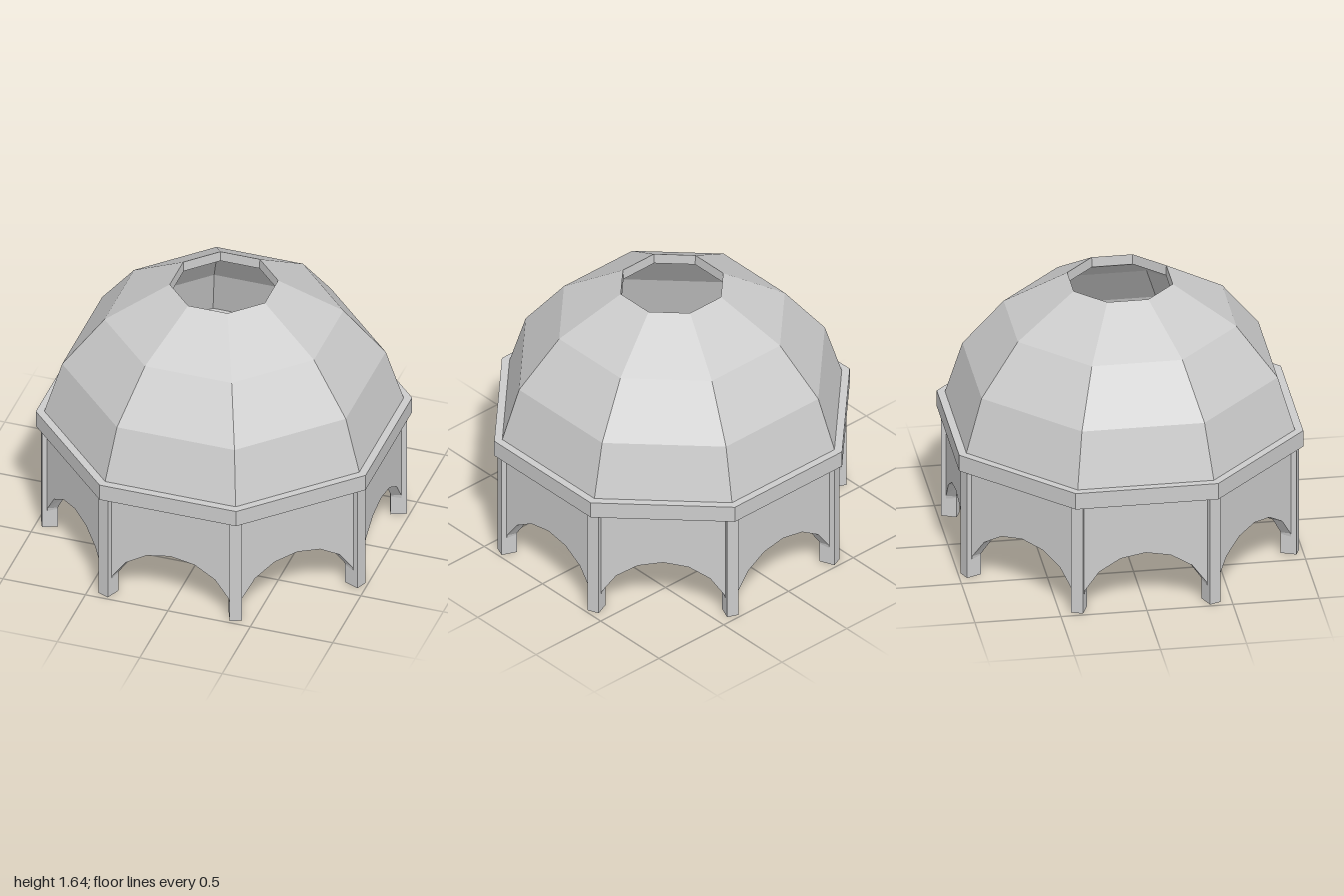
import * as THREE from 'three';

const SIDES = 8;
const STEP = (Math.PI * 2) / SIDES;
const CORNER = 1 / Math.cos(STEP / 2); // apothem -> corner radius

const material = new THREE.MeshStandardMaterial({ color: 0xcccccc, flatShading: true });

function addMesh(parent, name, geometry) {
  const mesh = new THREE.Mesh(geometry, material);
  mesh.name = name;
  parent.add(mesh);
  return mesh;
}

// Octagonal solid from a profile of [apothem, height] points
function octagon(profile) {
  const points = profile.map(([a, y]) => new THREE.Vector2(a * CORNER, y));
  return new THREE.LatheGeometry(points, SIDES, STEP / 2);
}

// Wall panel with an arched opening, its ends mitred towards the centre
function archPanel() {
  const inner = 0.9, outer = 0.955, top = 0.69;
  const half = inner * Math.tan(STEP / 2);
  const shape = new THREE.Shape();
  shape.moveTo(half, 0);
  shape.lineTo(half, top);
  shape.lineTo(-half, top);
  shape.lineTo(-half, 0);
  for (let i = 0; i <= 8; i++) {
    const t = Math.PI - (i * Math.PI) / 8;
    shape.lineTo(0.36 * Math.cos(t), 0.35 * Math.sin(t));
  }
  const geometry = new THREE.ExtrudeGeometry(shape, { depth: outer - inner, bevelEnabled: false });
  geometry.translate(0, 0, inner);
  const p = geometry.attributes.position;
  for (let i = 0; i < p.count; i++) p.setX(i, (p.getX(i) * p.getZ(i)) / inner);
  geometry.computeVertexNormals();
  return geometry;
}

export function createModel() {
  const model = new THREE.Group();
  model.name = 'domedPavilion';

  // Arcade: eight arched walls with a pillar at each corner
  const wall = archPanel();
  const pillar = new THREE.BoxGeometry(0.07, 0.69, 0.094).translate(0, 0.345, 1.003);
  for (let i = 0; i < SIDES; i++) {
    addMesh(model, 'archWall', wall).rotation.y = i * STEP;
    addMesh(model, 'cornerPillar', pillar).rotation.y = (i + 0.5) * STEP;
  }

  // Cornice band, projecting inside and out
  addMesh(model, 'cornice', octagon([
    [0.855, 0.683], [1, 0.683], [1, 0.785], [0.855, 0.785], [0.855, 0.683],
  ]));

  // Dome shell: up the outside, over the rim of the opening, down the inside
  addMesh(model, 'dome', octagon([
    [0.955, 0.785], [0.86, 1.11], [0.635, 1.41], [0.288, 1.637],
    [0.285, 1.575], [0.6, 1.365], [0.81, 1.085], [0.9, 0.78],
  ]));

  return model;
}
